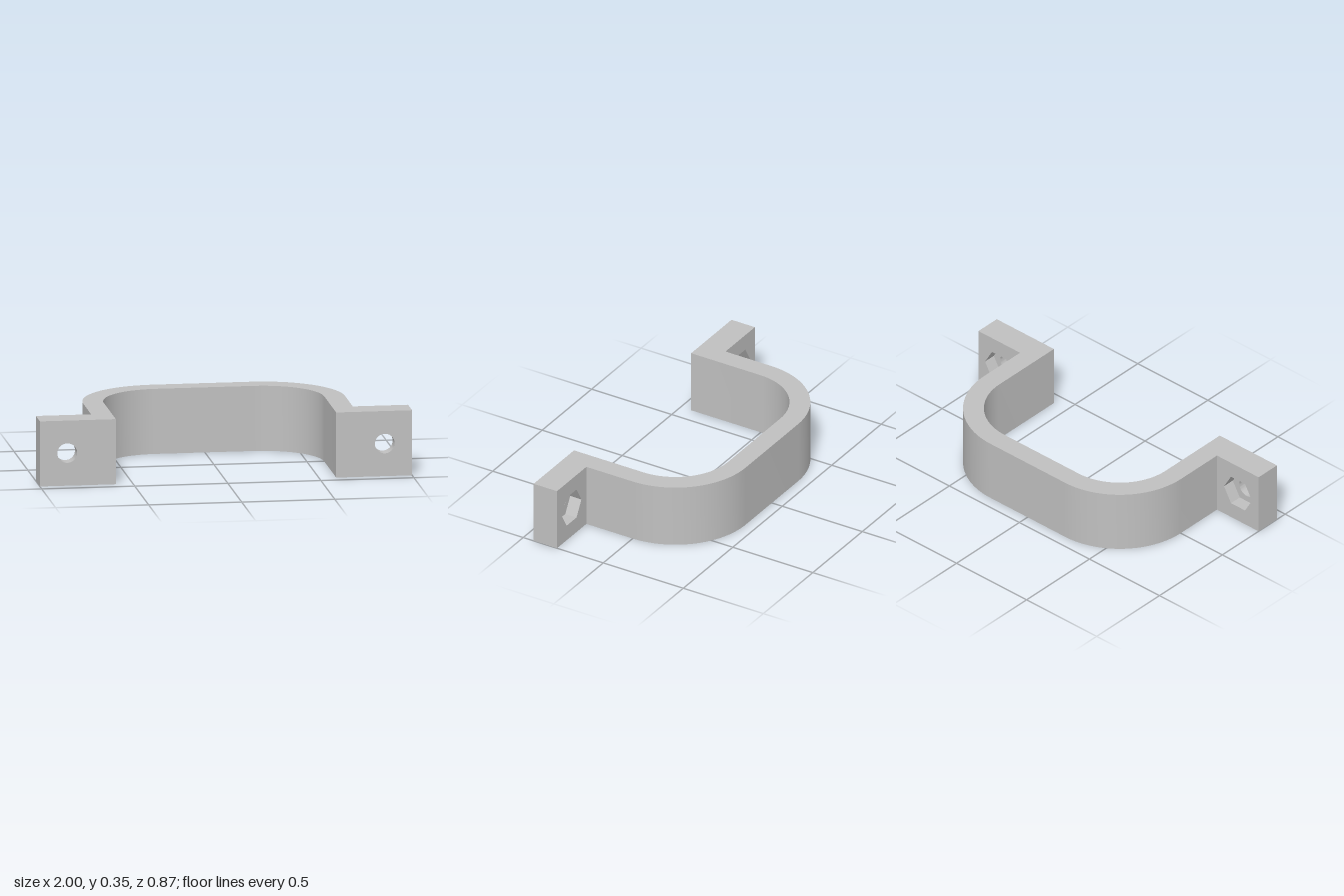
import * as THREE from 'three';
import { toCreasedNormals } from 'three/addons/utils/BufferGeometryUtils.js';

const HEIGHT = 0.353;
const FRONT = 0.435;            // z of the mounting face
const OUTER = 0.703, INNER = 0.592;
const CORNER_X = 0.265, CORNER_Z = 0.003; // centre of the rounded corners
const FLANGE = 0.146, POCKET = 0.07;      // flange thickness, nut pocket depth

const extrude = (shape, depth) => toCreasedNormals(
  new THREE.ExtrudeGeometry(shape, { depth, bevelEnabled: false, curveSegments: 24 }), 0.5);

// Plan outline of the bent strap (shape y = -z)
function strapShape() {
  const s = new THREE.Shape();
  const R = OUTER - CORNER_X, r = INNER - CORNER_X;
  s.moveTo(INNER, -FRONT);
  s.lineTo(OUTER, -FRONT);
  s.absarc(CORNER_X, -CORNER_Z, R, 0, Math.PI / 2, false);
  s.absarc(-CORNER_X, -CORNER_Z, R, Math.PI / 2, Math.PI, false);
  s.lineTo(-OUTER, -FRONT);
  s.lineTo(-INNER, -FRONT);
  s.absarc(-CORNER_X, -CORNER_Z, r, Math.PI, Math.PI / 2, true);
  s.absarc(CORNER_X, -CORNER_Z, r, Math.PI / 2, 0, true);
  s.closePath();
  return s;
}

// Rectangular flange plate with one opening in its middle
function plateShape(side, opening) {
  const a = Math.min(side * OUTER, side), b = Math.max(side * OUTER, side);
  const s = new THREE.Shape([[a, 0], [b, 0], [b, HEIGHT], [a, HEIGHT]]
    .map(([x, y]) => new THREE.Vector2(x, y)));
  s.holes.push(opening);
  return s;
}

export function createModel() {
  const group = new THREE.Group();
  group.name = 'strapBracket';
  const grey = new THREE.MeshStandardMaterial({ color: 0xc0c0c0 });
  grey.name = 'grey';

  const add = (name, geometry) => {
    const mesh = new THREE.Mesh(geometry, grey);
    mesh.name = name;
    group.add(mesh);
    return mesh;
  };

  add('strap', extrude(strapShape(), HEIGHT).rotateX(-Math.PI / 2));

  for (const side of [1, -1]) {
    const label = side > 0 ? 'left' : 'right';
    const cx = side * 0.853, cy = HEIGHT / 2;

    // Front of the flange with the round bolt hole
    const bolt = new THREE.Path();
    bolt.absarc(cx, cy, 0.053, 0, Math.PI * 2, true);
    add(label + 'FlangeFront', extrude(plateShape(side, bolt), FLANGE - POCKET))
      .position.z = FRONT - FLANGE + POCKET;

    // Back of the flange with the hexagonal nut pocket
    const hex = new THREE.Path(Array.from({ length: 6 }, (_, i) => new THREE.Vector2(
      cx + 0.1 * Math.cos(i * Math.PI / 3), cy + 0.1 * Math.sin(i * Math.PI / 3))));
    add(label + 'FlangeBack', extrude(plateShape(side, hex), POCKET))
      .position.z = FRONT - FLANGE;
  }
  return group;
}
